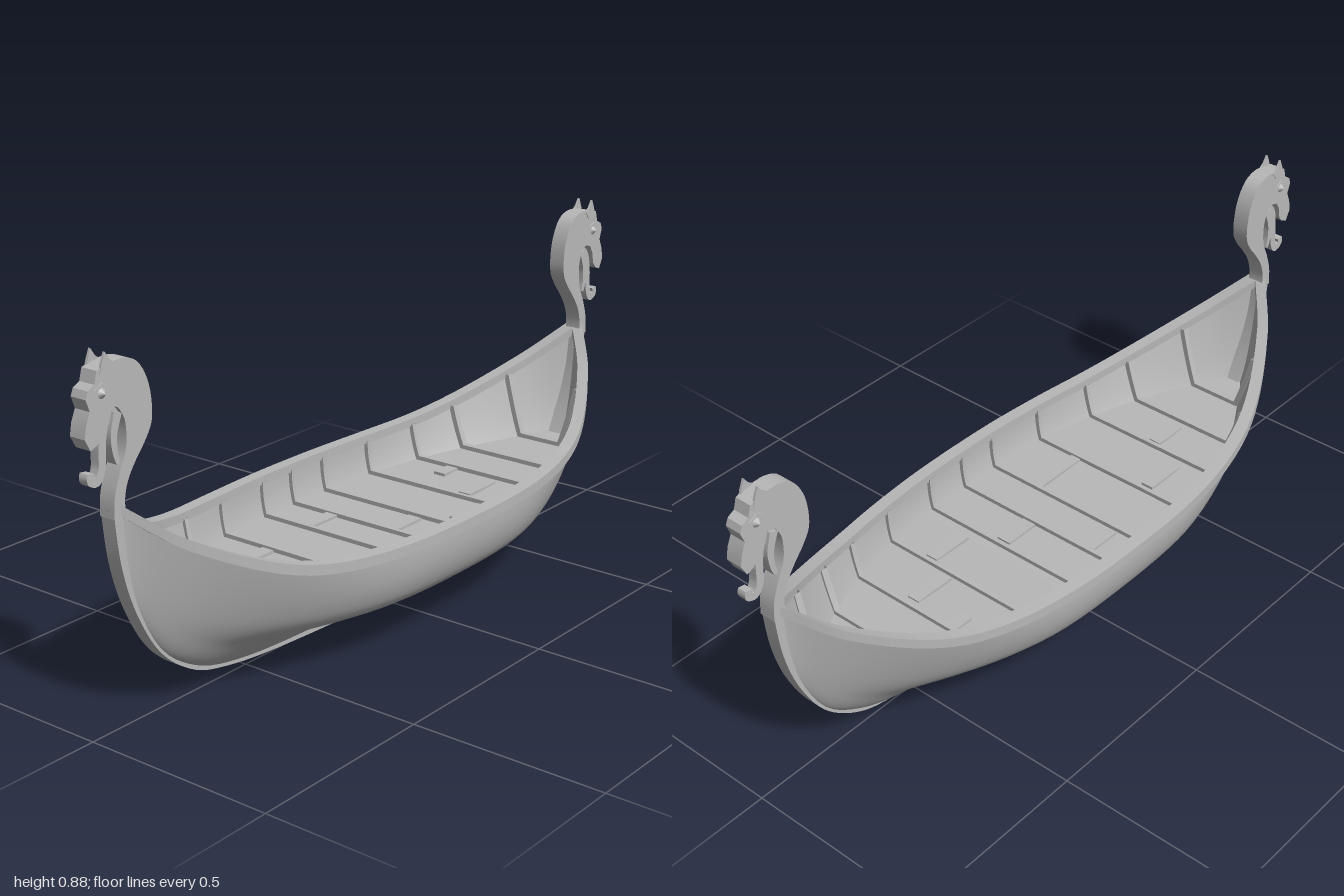
import * as THREE from 'three';
import { toCreasedNormals } from 'three/addons/utils/BufferGeometryUtils.js';

const wood = new THREE.MeshStandardMaterial({ color: 0xb8b8b8, side: THREE.DoubleSide });
wood.name = 'grey wood';

// Smooth function of |z| through a few points
function curve(pts) {
  const slope = i => {
    if (i === 0) return 0;
    const a = pts[i - 1], b = pts[Math.min(i + 1, pts.length - 1)];
    return (b[1] - a[1]) / (b[0] - a[0]);
  };
  return z => {
    const x = Math.min(Math.abs(z), pts[pts.length - 1][0]);
    let i = 0;
    while (i < pts.length - 2 && x > pts[i + 1][0]) i++;
    const [x0, y0] = pts[i], [x1, y1] = pts[i + 1], d = x1 - x0, t = (x - x0) / d;
    return y0 * (1 + 2 * t) * (1 - t) ** 2 + slope(i) * d * t * (1 - t) ** 2
      + y1 * t * t * (3 - 2 * t) + slope(i + 1) * d * t * t * (t - 1);
  };
}

// Hull lines: half beam, rail height, keel height, floor height
const beam = curve([[0, 0.303], [0.2, 0.297], [0.4, 0.27], [0.6, 0.213], [0.8, 0.105], [0.908, 0.012]]);
const railY = curve([[0, 0.3], [0.4, 0.308], [0.6, 0.345], [0.8, 0.44], [0.908, 0.53]]);
const keelY = curve([[0, 0.008], [0.4, 0.02], [0.6, 0.042], [0.7, 0.075], [0.8, 0.15], [0.87, 0.275], [0.908, 0.4]]);
const floorY = z => 0.19 + 0.035 * (z / 0.8) ** 2;
const section = curve([[0, 0.02], [0.07, 0.1], [0.22, 0.33], [0.32, 0.64], [0.42, 0.83], [0.57, 0.93], [0.77, 0.985], [1, 1]]);

// Half width of the hull at a station and height: full amidships, rounded V at the ends
function halfWidth(z, y) {
  const k = keelY(z), t = THREE.MathUtils.clamp((y - k) / (railY(z) - k), 0, 1);
  const e = THREE.MathUtils.smoothstep(Math.abs(z), 0.2, 0.85);
  return 0.012 + (beam(z) - 0.012) * THREE.MathUtils.lerp(section(t), t ** 0.6, e);
}
const innerWidth = (z, y) => Math.max(0.004, halfWidth(z, y) - 0.018);

// Surface from a rule f(u, v) -> [x, y, z]
function grid(nu, nv, f) {
  const pos = [], idx = [];
  for (let i = 0; i <= nu; i++) for (let j = 0; j <= nv; j++) {
    pos.push(...f(i / nu, j / nv));
    if (i < nu && j < nv) {
      const a = i * (nv + 1) + j, b = a + nv + 1;
      idx.push(a, b, a + 1, b, b + 1, a + 1);
    }
  }
  const g = new THREE.BufferGeometry();
  g.setAttribute('position', new THREE.Float32BufferAttribute(pos, 3));
  g.setIndex(idx);
  g.computeVertexNormals();
  return g;
}

// Square bar swept along a path of four corner points
function bar(n, corners) {
  return toCreasedNormals(grid(n, 4, (u, v) => corners(u)[Math.round(v * 4) % 4]), 0.6);
}

// Outline in the z-y plane, extruded evenly to both sides of x = offset
function slab(points, half, offset = 0) {
  const shape = new THREE.Shape(points.map(p => new THREE.Vector2(p[0], p[1])));
  const g = new THREE.ExtrudeGeometry(shape, { depth: half * 2, bevelEnabled: false });
  g.translate(0, 0, -half);
  g.rotateY(-Math.PI / 2);
  g.translate(offset, 0, 0);
  return toCreasedNormals(g, 0.5);
}

// Ribbon outline of varying thickness around a smooth path
function ribbon(path, n, radius) {
  const c = new THREE.SplineCurve(path.map(p => new THREE.Vector2(...p)));
  const left = [], right = [];
  for (let i = 0; i <= n; i++) {
    const p = c.getPoint(i / n), t = c.getTangent(i / n), r = radius(i / n);
    left.push([p.x - t.y * r, p.y + t.x * r]);
    right.unshift([p.x + t.y * r, p.y - t.x * r]);
  }
  return left.concat(right);
}

const smooth = (pts, n) => new THREE.SplineCurve(pts.map(p => new THREE.Vector2(...p))).getPoints(n).map(p => [p.x, p.y]);

function createModel() {
  const model = new THREE.Group();
  const add = (name, geometry, parent = model) => {
    const m = new THREE.Mesh(geometry, wood);
    m.name = name;
    parent.add(m);
    return m;
  };
  const station = u => 0.908 * Math.sin((u - 0.5) * Math.PI);

  for (const s of [1, -1]) {
    const side = s > 0 ? 'left' : 'right';
    // Outer planking
    add(side + 'Hull', grid(64, 24, (u, v) => {
      const z = station(u), k = keelY(z), y = k + (railY(z) - 0.008 - k) * v ** 1.4;
      return [s * halfWidth(z, y), y, z];
    }));
    // Inner lining from floor to rail
    add(side + 'Lining', grid(56, 8, (u, v) => {
      const z = station(u), y0 = Math.max(floorY(z) - 0.005, keelY(z)), y = y0 + (railY(z) - 0.008 - y0) * v;
      return [s * innerWidth(z, y), y, z];
    }));
    // Gunwale
    add(side + 'Rail', bar(64, u => {
      const z = station(u), y = railY(z), o = beam(z) + 0.008, i = Math.max(0, beam(z) - 0.027);
      return [[s * o, y - 0.026, z], [s * o, y, z], [s * i, y + 0.001, z], [s * i, y - 0.022, z]];
    }));
  }

  // Floor
  add('floor', grid(48, 2, (u, v) => {
    const z = (u - 0.5) * 1.66, y = floorY(z);
    return [(v * 2 - 1) * (innerWidth(z, y) + 0.005), y, z];
  }));

  // Cross ribs with frames up both walls
  for (const z of [-0.745, -0.59, -0.455, -0.295, -0.125, 0, 0.115, 0.285, 0.45, 0.585, 0.735]) {
    const h = Math.abs(z) > 0.5 ? 0.009 : 0.006, y0 = floorY(z);
    const rib = add('floorRib', new THREE.BoxGeometry(2 * innerWidth(z, y0), 0.014, 2 * h));
    rib.position.set(0, y0 + 0.004, z);
    for (const s of [1, -1]) {
      add('wallFrame', bar(8, u => {
        const y = y0 + (railY(z) - 0.015 - y0) * u, o = s * (innerWidth(z, y) + 0.004), i = s * (innerWidth(z, y) - 0.011);
        return [[o, y, z - h], [o, y, z + h], [i, y, z + h], [i, y, z - h]];
      }));
    }
  }

  // Loose repair boards on the floor: x, z, width, length
  for (const [x, z, w, l] of [[0.125, 0.2, 0.03, 0.16], [-0.09, -0.42, 0.035, 0.06], [-0.1, 0.36, 0.035, 0.12],
    [0.04, -0.06, 0.04, 0.1], [0.13, -0.22, 0.035, 0.12], [-0.14, 0.05, 0.035, 0.1], [0.05, -0.37, 0.035, 0.12], [0, 0.51, 0.035, 0.1]]) {
    const board = add('floorBoard', new THREE.BoxGeometry(w, 0.008, l));
    board.position.set(x, floorY(z) + 0.003, z);
  }

  // Keel running up into both stem posts
  const half = [[0.4, 0.029], [0.6, 0.052], [0.7, 0.085], [0.79, 0.158], [0.855, 0.27], [0.893, 0.39], [0.909, 0.52]];
  const keel = [...half.slice().reverse().map(p => [-p[0], p[1]]), [0, 0.015], ...half];
  add('keelAndStems', slab(ribbon(keel, 90, () => 0.0165), 0.02));

  // Carved beast heads on curved necks, one at each end
  const front = smooth([[0.926, 0.5], [0.922, 0.55], [0.905, 0.6], [0.886, 0.64], [0.88, 0.68], [0.885, 0.72], [0.907, 0.75], [0.935, 0.745]], 24);
  const snout = [[0.948, 0.722], [0.952, 0.695], [0.965, 0.68], [0.985, 0.672], [1, 0.7], [0.994, 0.73], [0.982, 0.757],
    [0.992, 0.785], [0.985, 0.802], [0.966, 0.812], [0.958, 0.84]];
  const back = smooth([[0.93, 0.848], [0.88, 0.85], [0.84, 0.833], [0.813, 0.79], [0.802, 0.74], [0.804, 0.69], [0.826, 0.652],
    [0.853, 0.62], [0.88, 0.58], [0.892, 0.54], [0.891, 0.5]], 36);
  for (const turn of [0, Math.PI]) {
    const head = new THREE.Group();
    head.name = turn ? 'sternHead' : 'bowHead';
    head.rotation.y = turn;
    model.add(head);
    add('neckAndSkull', slab([...front, ...snout, ...back], 0.022), head);
    // Lower jaw ending in a curl
    const jaw = [[0.885, 0.73], [0.912, 0.735], [0.932, 0.715], [0.942, 0.67], [0.945, 0.62], [0.959, 0.594], [0.98, 0.601], [0.978, 0.617]];
    add('curledJaw', slab(ribbon(jaw, 36, t => 0.012 - 0.003 * t), 0.012), head);
    add('beard', slab(ribbon([[0.9, 0.735], [0.914, 0.69], [0.913, 0.65], [0.905, 0.622]], 14, t => 0.012 - 0.007 * t), 0.02), head);
    for (const s of [1, -1]) {
      add('ear', slab([[0.95, 0.83], [0.945, 0.85], [0.934, 0.876], [0.922, 0.858], [0.905, 0.845], [0.92, 0.825]], 0.003, s * 0.021), head);
      const eye = add('eye', new THREE.ConeGeometry(0.013, 0.012, 8), head);
      eye.position.set(s * 0.027, 0.788, 0.946);
      eye.rotation.z = -s * Math.PI / 2;
      add('brow', slab([[0.968, 0.8], [0.945, 0.812], [0.925, 0.803], [0.945, 0.804]], 0.004, s * 0.022), head);
    }
  }
  return model;
}

export { createModel };
